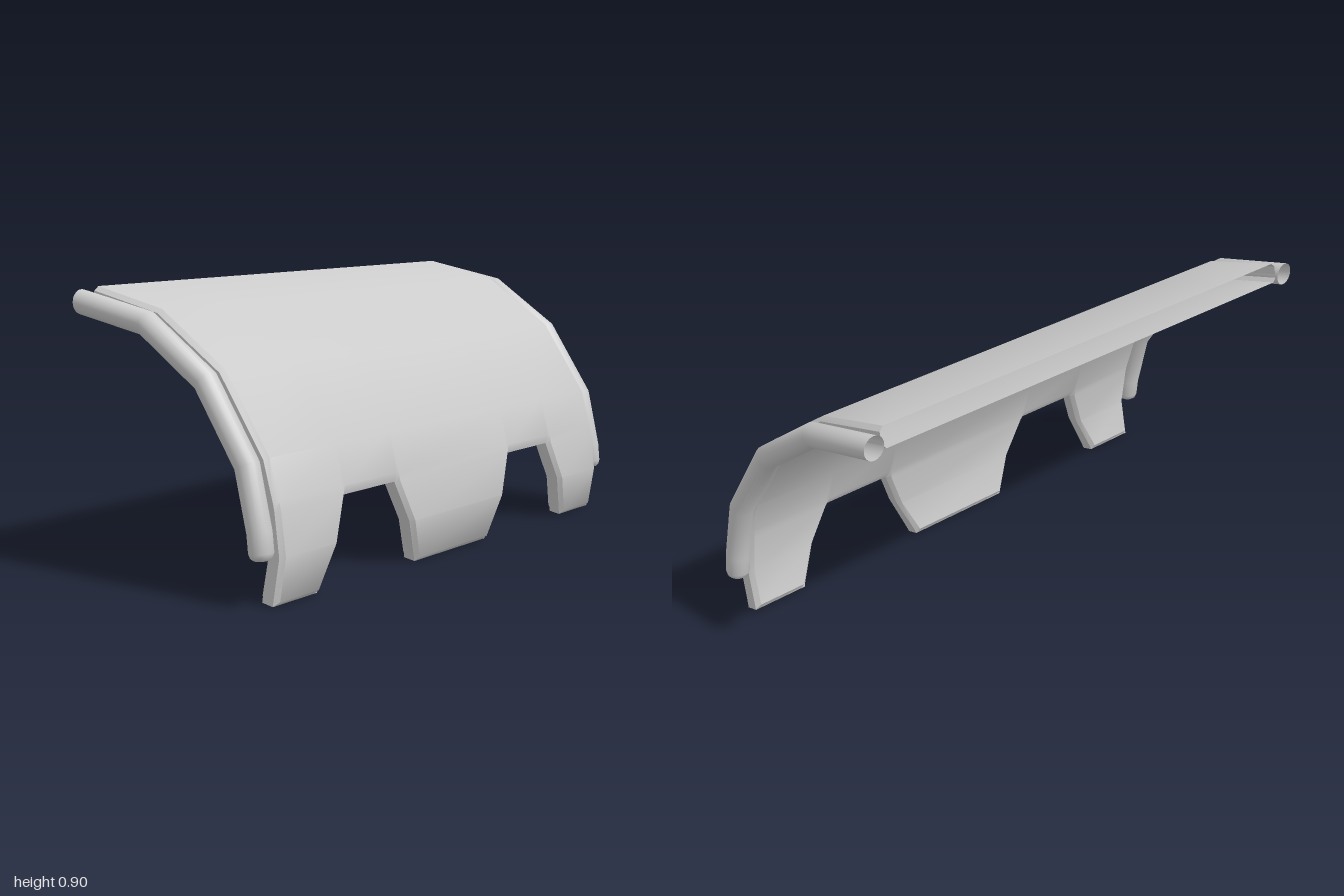
import * as THREE from 'three';
import { toCreasedNormals } from 'three/addons/utils/BufferGeometryUtils.js';

const material = new THREE.MeshStandardMaterial({ color: 0xcccccc, side: THREE.DoubleSide });

function makeGeometry(positions, index) {
  const g = new THREE.BufferGeometry();
  g.setAttribute('position', new THREE.Float32BufferAttribute(positions, 3));
  g.setIndex(index);
  return g;
}

// Curved plate: rows run along the bend, columns along z
function createShell() {
  // outer x, outer y, inner x, inner y
  const rows = [
    [-0.36, 0.9, -0.374, 0.834], [-0.095, 0.843, -0.12, 0.782], [0.154, 0.678, 0.108, 0.632],
    [0.319, 0.435, 0.259, 0.41], [0.354, 0.31, 0.292, 0.3], [0.36, 0.283, 0.296, 0.275],
    [0.377, 0.148, 0.312, 0.145], [0.354, 0.014, 0.288, 0.026], [0.352, -0.002, 0.285, 0.01],
  ];
  const gapRow = 5, bevel = 0.015, press = 0.2;
  // columns at the ends, the sloping gap sides, and a bevel width inside each
  const columns = (y) => {
    const t = THREE.MathUtils.clamp((0.283 - y) / 0.283, 0, 1);
    const a = 0.6 + 0.12 * t, b = 0.335 - 0.125 * t;
    const half = [b - bevel, b, a, a + bevel, 0.925 - bevel, 0.925];
    return [...half.map((z) => -z).reverse(), ...half];
  };
  const nR = rows.length, nC = 12;
  const solid = (i, k) => i >= 0 && i < nR - 1 && k >= 0 && k < nC - 1
    && !(i >= gapRow && (k === 3 || k === 7));
  const pos = [], index = [];
  rows.forEach(([ox, oy, ix, iy], i) => {
    columns(oy).forEach((z, k) => {
      // rim points are pressed toward the middle of the plate to bevel it
      const above = Math.max(i - 1, 0);
      const inside = solid(above, k - 1) && solid(above, k)
        && (i === 0 || (solid(i, k - 1) && solid(i, k)));
      const t = inside ? 0 : press;
      pos.push(ox + (ix - ox) * t, oy + (iy - oy) * t, z);
      pos.push(ix + (ox - ix) * t, iy + (oy - iy) * t, z);
    });
  });
  const id = (i, k) => 2 * (i * nC + k);
  const quad = (a, b, c, d) => index.push(a, b, c, a, c, d);
  for (let i = 0; i < nR - 1; i++) for (let k = 0; k < nC - 1; k++) {
    if (!solid(i, k)) continue;
    const [a, b, c, d] = [id(i, k), id(i, k + 1), id(i + 1, k + 1), id(i + 1, k)];
    quad(a, b, c, d);
    quad(d + 1, c + 1, b + 1, a + 1);
    // rim walls; the upper edge stays open
    const wall = (p, q) => quad(q, p, p + 1, q + 1);
    if (!solid(i, k + 1)) wall(b, c);
    if (!solid(i + 1, k)) wall(c, d);
    if (!solid(i, k - 1)) wall(d, a);
  }
  return toCreasedNormals(makeGeometry(pos, index), 0.7);
}

// Mitred pipe with an open top and a rounded foot
function createPipe() {
  const path = [
    [-0.38, 0.854, 0.038], [-0.108, 0.803, 0.038], [0.123, 0.648, 0.038], [0.278, 0.415, 0.038],
    [0.322, 0.225, 0.038], [0.328, 0.166, 0.038], [0.329, 0.153, 0.034], [0.33, 0.145, 0.025],
    [0.33, 0.144, 0],
  ];
  const sides = 20, pos = [], index = [];
  const direction = (i) => new THREE.Vector2(path[i + 1][0] - path[i][0], path[i + 1][1] - path[i][1]).normalize();
  path.forEach(([x, y, r], i) => {
    const before = direction(THREE.MathUtils.clamp(i - 1, 0, path.length - 2));
    const after = direction(Math.min(i, path.length - 2));
    const d = before.clone().add(after).normalize();
    if (i === 0) d.set(1, 0); // the open end is cut upright
    const miter = r / d.dot(after);
    for (let s = 0; s < sides; s++) {
      const a = (s / sides) * Math.PI * 2;
      pos.push(x - d.y * Math.cos(a) * miter, y + d.x * Math.cos(a) * miter, r * Math.sin(a));
    }
  });
  for (let i = 0; i < path.length - 1; i++) for (let s = 0; s < sides; s++) {
    const n = (s + 1) % sides;
    const a = i * sides + s, b = i * sides + n, c = b + sides, d = a + sides;
    index.push(a, b, c, a, c, d);
  }
  return toCreasedNormals(makeGeometry(pos, index), 0.8);
}

export function createModel() {
  const model = new THREE.Group();
  model.name = 'curvedGuard';

  const shell = new THREE.Mesh(createShell(), material);
  shell.name = 'notchedShell';
  model.add(shell);

  // One pipe along each end of the shell
  const pipeGeometry = createPipe();
  for (const [name, z] of [['frontPipe', 0.962], ['backPipe', -0.962]]) {
    const pipe = new THREE.Mesh(pipeGeometry, material);
    pipe.name = name;
    pipe.position.z = z;
    model.add(pipe);
  }
  return model;
}
